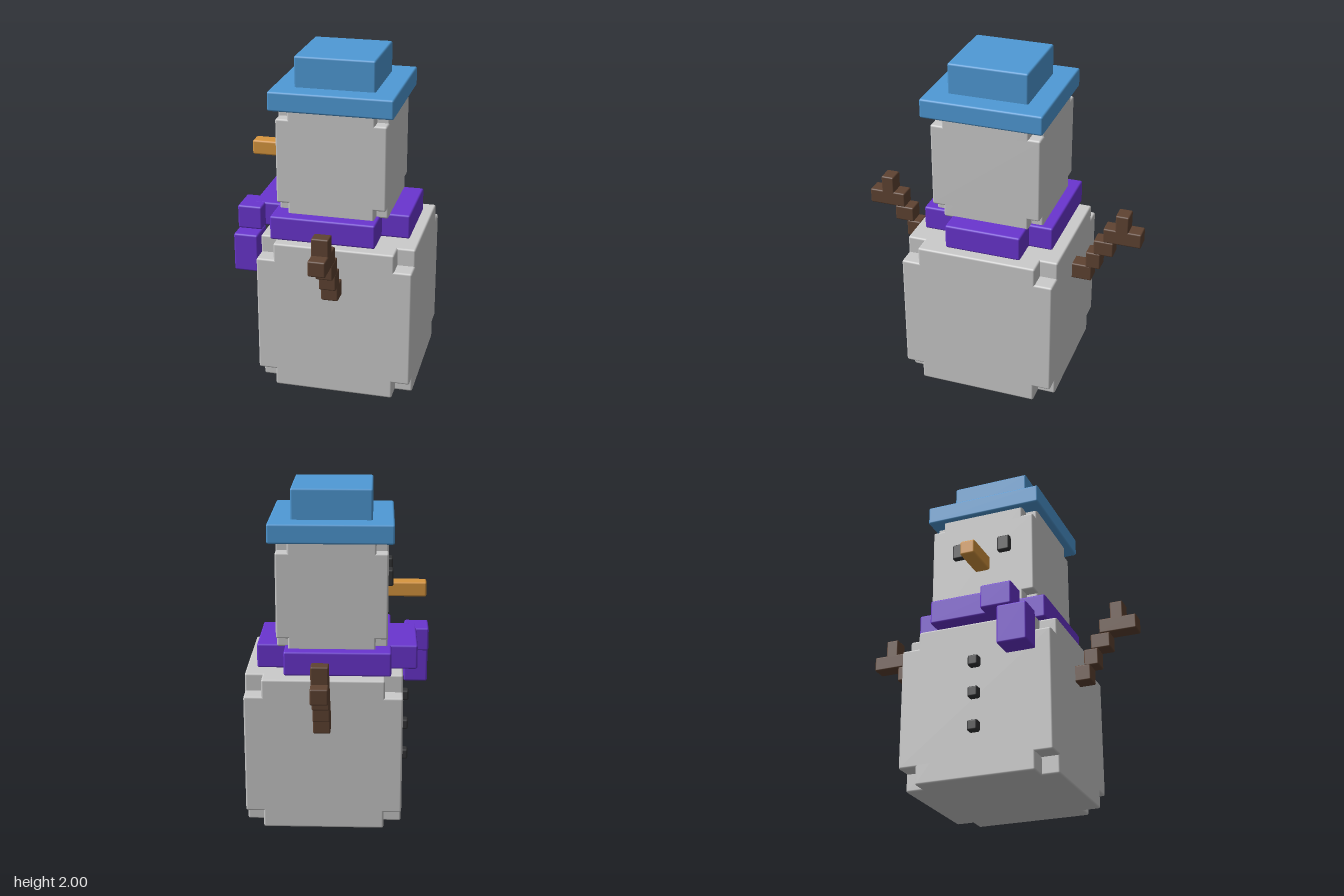
import * as THREE from 'three';
import { RoundedBoxGeometry } from 'three/addons/geometries/RoundedBoxGeometry.js';

const mat = (color) => new THREE.MeshStandardMaterial({ color });
const snow = mat(0xcccccc), blue = mat(0x4f9ad6), purple = mat(0x6a35d0);
const brown = mat(0x5f4332), orange = mat(0xd8963f), coal = mat(0x333436);

// Softly bevelled box given by its [min, max] range on each axis
function block(name, material, [x0, x1], [y0, y1], [z0, z1], radius = 0.012) {
  const geo = new RoundedBoxGeometry(x1 - x0, y1 - y0, z1 - z0, 2, radius);
  const mesh = new THREE.Mesh(geo, material);
  mesh.position.set((x0 + x1) / 2, (y0 + y1) / 2, (z0 + z1) / 2);
  mesh.name = name;
  return mesh;
}

function part(name, ...meshes) {
  const group = new THREE.Group();
  group.name = name;
  group.add(...meshes);
  return group;
}

// Cube with its eight corners cut out: three boxes, each shortened on one axis
function notchedCube(name, ranges, notch) {
  const boxes = [0, 1, 2].map((axis) => {
    const r = ranges.map(([a, b], i) => (i === axis ? [a + notch, b - notch] : [a, b]));
    return block(name + 'Block', snow, ...r);
  });
  return part(name, ...boxes);
}

export function createModel() {
  const model = new THREE.Group();
  model.name = 'snowman';

  model.add(notchedCube('body', [[-0.385, 0.54], [0, 0.935], [-0.45, 0.475]], 0.105));
  model.add(notchedCube('head', [[-0.293, 0.357], [1.07, 1.72], [-0.312, 0.344]], 0.07));

  // Hat
  model.add(part('hat',
    block('hatBrim', blue, [-0.325, 0.4], [1.705, 1.82], [-0.335, 0.388]),
    block('hatCrown', blue, [-0.2, 0.272], [1.79, 2], [-0.21, 0.266])));

  // Scarf: crossed bands and a tail hanging beside the chest
  model.add(part('scarf',
    block('scarfBandSides', purple, [-0.315, 0.31], [0.935, 1.08], [-0.378, 0.418]),
    block('scarfBandFrontBack', purple, [-0.47, 0.477], [0.934, 1.081], [-0.235, 0.222]),
    block('scarfKnot', purple, [-0.548, -0.4], [0.935, 1.08], [0.11, 0.3]),
    block('scarfTail', purple, [-0.548, -0.4], [0.7, 0.935], [0.21, 0.39])));

  // Face on the -x side
  model.add(block('nose', orange, [-0.522, -0.27], [1.32, 1.41], [-0.03, 0.063]));
  for (const side of [-1, 1]) {
    const z = 0.016 + side * 0.145;
    model.add(block('eye', coal, [-0.323, -0.27], [1.42, 1.52], [z - 0.04, z + 0.04]));
  }

  // Coat buttons
  for (const y of [0.293, 0.493, 0.685]) {
    model.add(block('button', coal, [-0.428, -0.36], [y - 0.032, y + 0.032], [-0.016, 0.048]));
  }

  // Stepped stick arms: [zMin, zMax, yMin, yMax], mirrored in z
  const steps = [
    [0.4, 0.57, 0.655, 0.755],
    [0.53, 0.62, 0.745, 0.85],
    [0.575, 0.695, 0.845, 0.94],
    [0.63, 0.858, 0.938, 1.03],
    [0.7, 0.78, 1.01, 1.13],
  ];
  for (const side of [-1, 1]) {
    const pieces = steps.map(([a, b, y0, y1]) =>
      block('armStep', brown, [0.03, 0.13], [y0, y1], side > 0 ? [a, b] : [-b, -a], 0.009));
    model.add(part(side > 0 ? 'armFront' : 'armBack', ...pieces));
  }

  return model;
}
